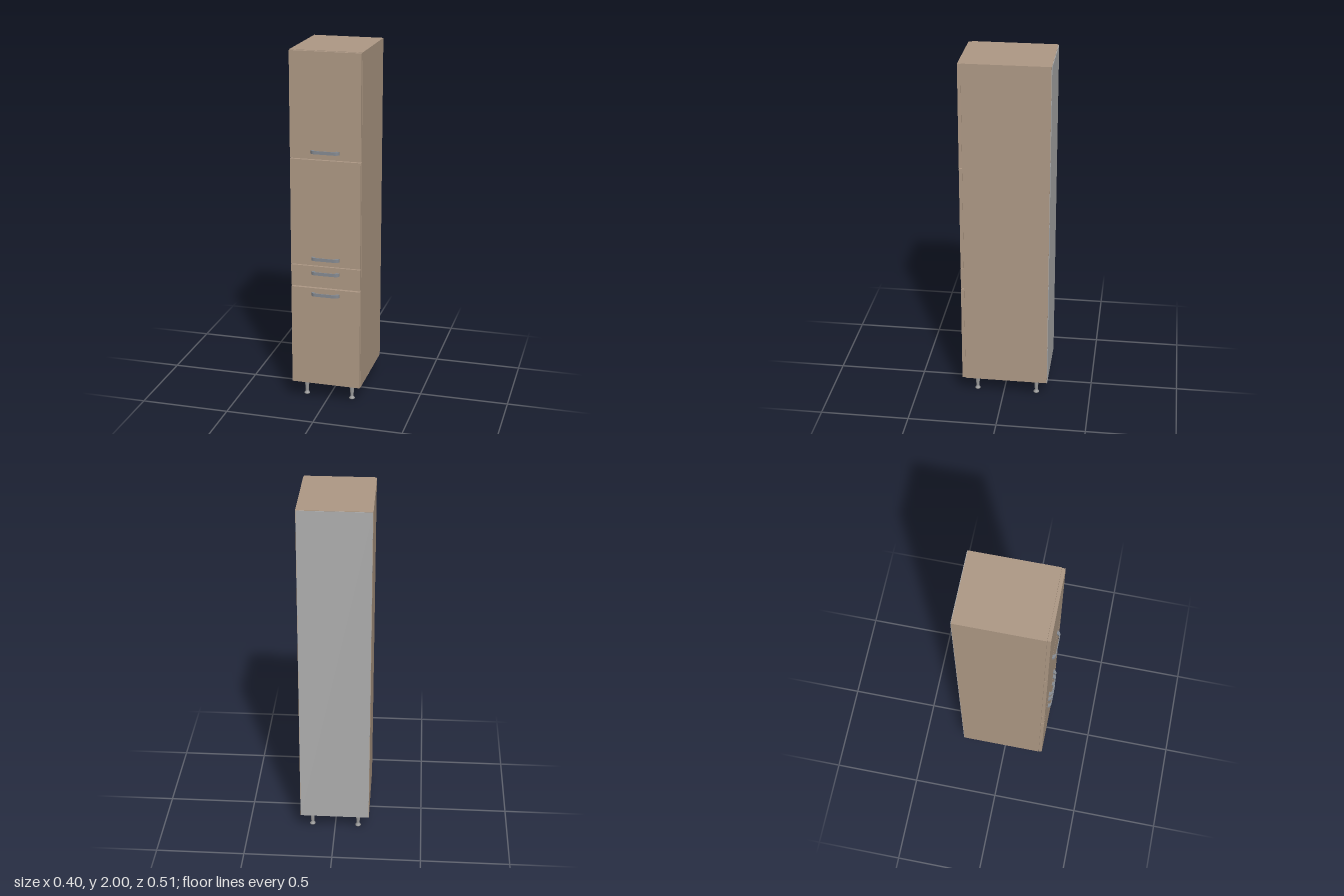
import * as THREE from 'three';

const material = (name, color) => {
  const m = new THREE.MeshStandardMaterial({ color });
  m.name = name;
  return m;
};

export function createModel() {
  const wood = material('wood', 0xae9985);
  const panelGrey = material('panel grey', 0xaeaeae);
  const legMetal = material('leg metal', 0x9c9c9c);
  const handleMetal = material('handle metal', 0x868b92);

  const model = new THREE.Group();
  model.name = 'tallCabinet';

  const add = (name, geometry, mat, x = 0, y = 0, z = 0) => {
    const mesh = new THREE.Mesh(geometry, mat);
    mesh.name = name;
    mesh.position.set(x, y, z);
    model.add(mesh);
    return mesh;
  };
  // Box given by its lower and upper corners
  const board = (name, mat, [x0, y0, z0], [x1, y1, z1]) =>
    add(name, new THREE.BoxGeometry(x1 - x0, y1 - y0, z1 - z0), mat,
      (x0 + x1) / 2, (y0 + y1) / 2, (z0 + z1) / 2);

  // Carcass boards
  const W = 0.198, T = 0.016, back = -0.254, front = 0.217, bottom = 0.103, top = 2;
  board('leftSide', wood, [W - T, bottom, back], [W, top, front]);
  board('rightSide', wood, [-W, bottom, back], [-W + T, top, front]);
  const levels = { bottomBoard: bottom, lowerShelf: 0.677, middleShelf: 0.805, upperShelf: 1.408, topBoard: top - T };
  for (const [name, y] of Object.entries(levels))
    board(name, wood, [-W + T, y, back], [W - T, y + T, front]);

  // Thin back panel
  board('backPanel', panelGrey, [-W + 0.002, bottom + 0.002, -0.257], [W - 0.002, top - 0.002, back]);

  // Door and drawer fronts
  const fronts = [
    ['lowerDoor', 0.105, 0.681],
    ['drawerFront', 0.69, 0.81],
    ['middleDoor', 0.815, 1.413],
    ['upperDoor', 1.418, 1.998],
  ];
  for (const [name, y0, y1] of fronts)
    board(name, wood, [-0.196, y0, 0.218], [0.196, y1, 0.236]);

  // Bow handles: flat arch outline in plan, extruded upwards
  const arch = new THREE.Shape();
  arch.moveTo(0.079, 0);
  arch.lineTo(0.078, 0.006);
  arch.quadraticCurveTo(0.072, 0.019, 0.052, 0.019);
  arch.lineTo(-0.052, 0.019);
  arch.quadraticCurveTo(-0.072, 0.019, -0.078, 0.006);
  arch.lineTo(-0.079, 0);
  arch.lineTo(-0.06, 0);
  arch.quadraticCurveTo(-0.059, 0.01, -0.05, 0.015);
  arch.lineTo(0.05, 0.015);
  arch.quadraticCurveTo(0.059, 0.01, 0.06, 0);
  arch.closePath();
  const handleGeometry = new THREE.ExtrudeGeometry(arch, { depth: 0.018, bevelEnabled: false, curveSegments: 8 });
  handleGeometry.translate(0, 0, -0.009).rotateX(Math.PI / 2);
  for (const y of [0.648, 0.773, 0.856, 1.459])
    add('handle', handleGeometry, handleMetal, 0, y, 0.236);

  // Tapered feet with a mounting plate and a flared base
  const profile = [[0, 0], [0.016, 0], [0.016, 0.005], [0.009, 0.014], [0.009, 0.022],
    [0.014, 0.085], [0.014, 0.099], [0.018, 0.099], [0.018, 0.103], [0, 0.103]]
    .map(([r, y]) => new THREE.Vector2(r, y));
  const legGeometry = new THREE.LatheGeometry(profile, 20);
  for (const x of [-0.133, 0.133])
    for (const z of [-0.188, 0.156])
      add('leg', legGeometry, legMetal, x, 0, z);

  return model;
}
